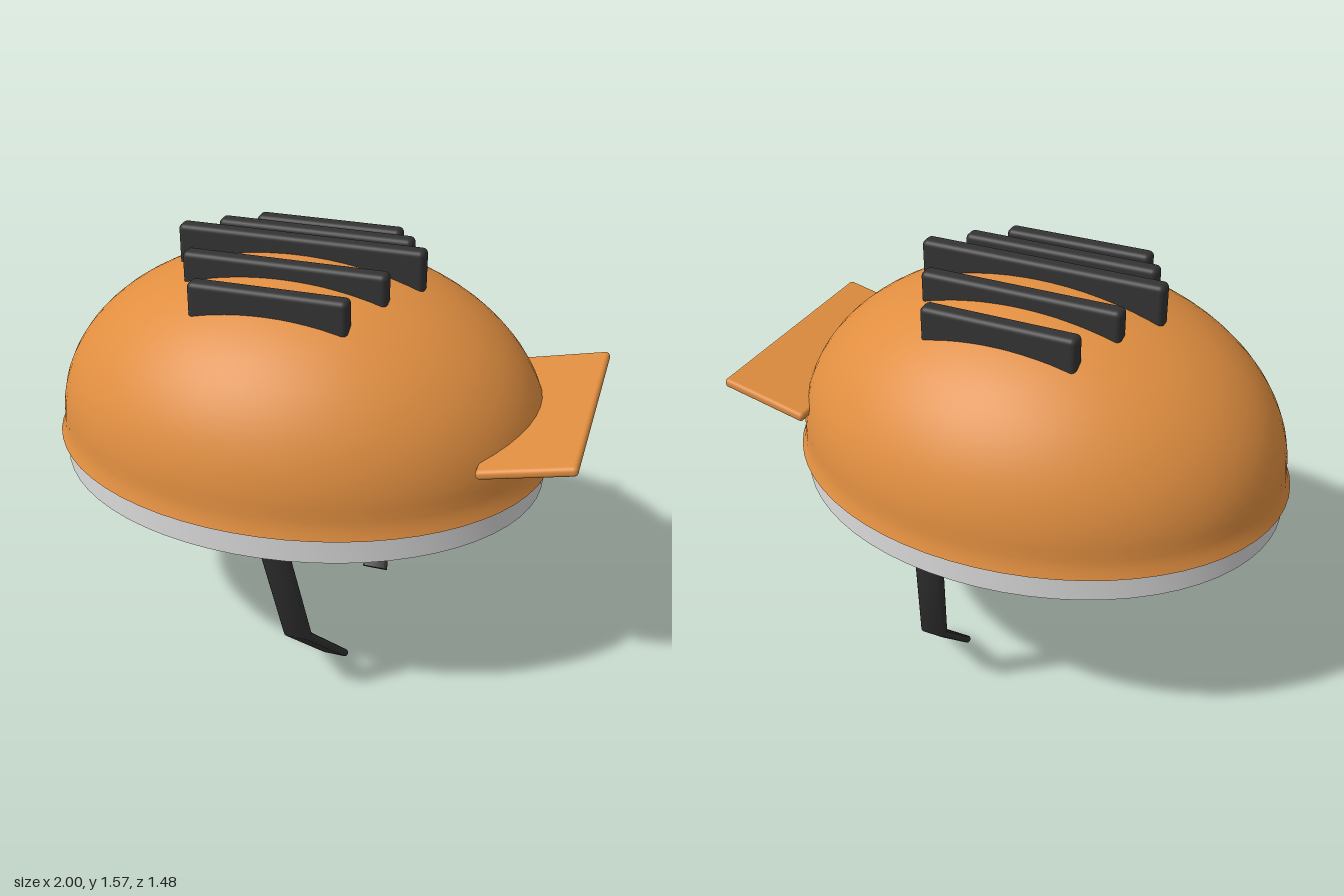
import * as THREE from 'three';
import { toCreasedNormals } from 'three/addons/utils/BufferGeometryUtils.js';
import { RoundedBoxGeometry } from 'three/addons/geometries/RoundedBoxGeometry.js';

const mat = (name, color) => Object.assign(new THREE.MeshStandardMaterial({ color }), { name });
const CENTRE_X = -0.07;
const DEPTH = 0.796; // depth of the oval plan relative to its length

// Lathe squashed into the oval plan of the helmet
function ovalLathe(points) {
  const g = new THREE.LatheGeometry(points.map(([r, y]) => new THREE.Vector2(r, y)), 64);
  g.scale(1, 1, DEPTH);
  g.translate(CENTRE_X, 0, 0);
  return toCreasedNormals(g, 0.6);
}

// Flat strap with rounded edges, swept through [x, y, z, halfThickness] stations
function strapGeometry(stations, halfWidth) {
  const centres = stations.map(([x, y, z]) => new THREE.Vector3(x, y, z));
  const xAxis = new THREE.Vector3(1, 0, 0);
  const N = 16;
  const pos = [];
  const index = [];
  centres.forEach((c, i) => {
    const a = centres[Math.max(i - 1, 0)];
    const b = centres[Math.min(i + 1, centres.length - 1)];
    const t = b.clone().sub(a).setX(0).normalize();
    const n = t.cross(xAxis);
    const h = stations[i][3];
    for (let j = 0; j < N; j++) {
      const ang = ((j + 0.5) / N) * Math.PI * 2;
      const cos = Math.cos(ang), sin = Math.sin(ang);
      // two half-round ends joined by flat faces
      const u = Math.sign(cos) * (halfWidth - h) + cos * h;
      const p = c.clone().addScaledVector(xAxis, u).addScaledVector(n, sin * h);
      pos.push(p.x, p.y, p.z);
    }
  });
  const last = (centres.length - 1) * N;
  for (let i = 0; i < last; i += N) {
    for (let j = 0; j < N; j++) {
      const k = (j + 1) % N;
      index.push(i + j, i + k, i + N + k, i + j, i + N + k, i + N + j);
    }
  }
  for (let j = 1; j < N - 1; j++) {
    index.push(0, j + 1, j, last, last + j, last + j + 1); // end caps
  }
  const g = new THREE.BufferGeometry();
  g.setAttribute('position', new THREE.Float32BufferAttribute(pos, 3));
  g.setIndex(index);
  return toCreasedNormals(g, 0.6);
}

export function createModel() {
  const model = new THREE.Group();
  model.name = 'helmet';
  const orange = mat('orange shell', 0xe08e40);
  const grey = mat('light grey liner', 0xd2d2d2);
  const black = mat('soft black', 0x333333);
  const add = (name, geometry, material) => {
    const m = new THREE.Mesh(geometry, material);
    m.name = name;
    model.add(m);
    return m;
  };

  // Domed shell with a flared hem and a turned-in underside
  const shell = [[0.86, 0.805], [0.93, 0.805], [0.917, 0.835]];
  for (let i = 0; i <= 24; i++) {
    const a = (i / 24) * Math.PI / 2;
    shell.push([i === 24 ? 0 : 0.91 * Math.cos(a), 0.87 + 0.64 * Math.sin(a)]);
  }
  add('shell', ovalLathe(shell), orange);

  // Liner band, closed underneath
  add('liner', ovalLathe([[0, 0.71], [0.91, 0.71], [0.895, 0.815]]), grey);

  // Visor tilted up at the +x end
  const visor = add('visor', new RoundedBoxGeometry(0.335, 0.035, 0.89, 4, 0.015), orange);
  visor.position.set(0.833, 1.025, 0);
  visor.rotation.z = 0.225;

  // Ribs along the crown, sunk into the shell: z, length, top
  for (const [z, length, top] of [[0, 0.9, 1.57], [0.17, 0.73, 1.54], [0.34, 0.56, 1.505]]) {
    for (const side of z ? [1, -1] : [1]) {
      const height = 0.19;
      const rib = add('rib', new RoundedBoxGeometry(length, height, 0.065, 4, 0.02), black);
      rib.position.set(CENTRE_X, top - height / 2, side * z);
    }
  }

  // Chin straps
  for (const side of [1, -1]) {
    const path = [[0.045, 0.76, 0.674, 0.02], [0.1, 0.295, 0.567, 0.017], [0.153, 0.01, 0.285, 0.014]];
    add(side > 0 ? 'frontStrap' : 'backStrap',
      strapGeometry(path.map(([x, y, z, h]) => [x, y, side * z, h]), 0.052), black);
  }
  return model;
}
